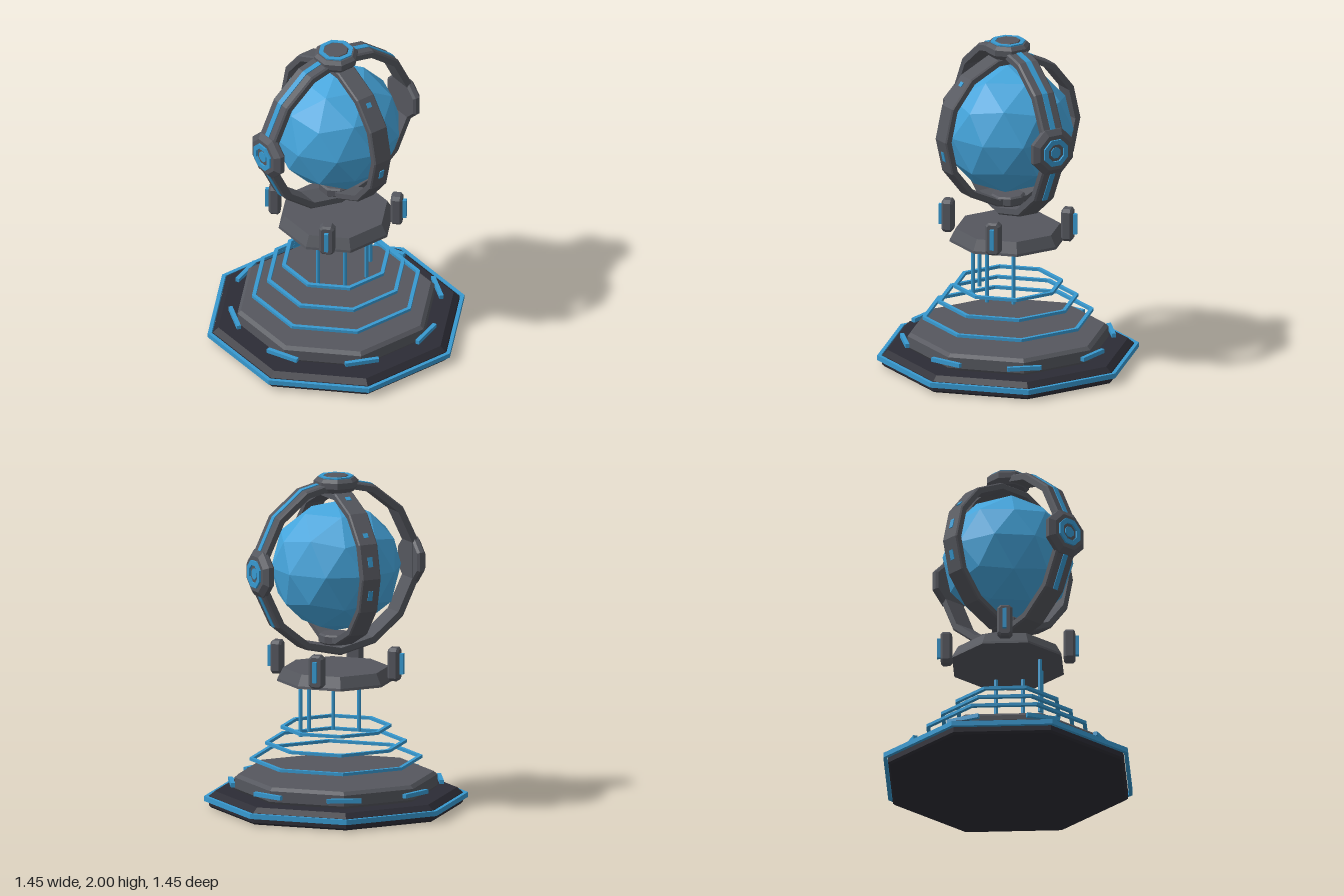
import * as THREE from 'three';

const mat = (name, color) => {
  const m = new THREE.MeshStandardMaterial({ color });
  m.name = name;
  return m;
};

// Faceted copy of a geometry
function flat(geo) {
  const g = geo.index ? geo.toNonIndexed() : geo;
  g.computeVertexNormals();
  return g;
}

// Profile given as [apothem, y] pairs, turned into a faceted prism
function turned(profile, sides = 8, apothem = true, start = Math.PI / sides) {
  const k = apothem ? 1 / Math.cos(Math.PI / sides) : 1;
  const pts = profile.map(([r, y]) => new THREE.Vector2(r * k, y));
  return flat(new THREE.LatheGeometry(pts, sides, start, Math.PI * 2));
}

// Closed rectangular octagon frame
const frame = (outer, inner, y0, y1) =>
  turned([[inner, y0], [outer, y0], [outer, y1], [inner, y1], [inner, y0]]);

// Chamfered closed section for the large hoops
function hoopProfile(R, r, w, c) {
  return [[r, -w], [R - c, -w], [R, -w + c], [R, w - c], [R - c, w], [r, w], [r, -w]];
}

export function createModel() {
  const root = new THREE.Group();
  root.name = 'globePedestal';
  const gray = mat('gunmetal', 0x55575e);
  const dark = mat('charcoal', 0x2c2c35);
  const glow = mat('globeBlue', 0x45a5dc);
  const trim = mat('trimBlue', 0x3799d0);

  const add = (name, geo, material, parent = root) => {
    const m = new THREE.Mesh(geo, material);
    m.name = name;
    parent.add(m);
    return m;
  };

  // Stepped base
  add('base', turned([[0, 0], [0.685, 0], [0.697, 0.012], [0.697, 0.07], [0.665, 0.1], [0, 0.1]]), dark);
  add('baseTrim', frame(0.725, 0.703, 0.04, 0.07), trim);
  add('baseStep', turned([[0, 0.1], [0.545, 0.1], [0.557, 0.115], [0.557, 0.18], [0.537, 0.2], [0, 0.2]]), gray);

  // Light bars across the corners of the step
  for (let i = 0; i < 8; i++) {
    const a = Math.PI / 8 + (i * Math.PI) / 4;
    const bar = add('cornerLight', new THREE.BoxGeometry(0.205, 0.025, 0.025), trim);
    bar.position.set(Math.sin(a) * 0.62, 0.153, Math.cos(a) * 0.62);
    bar.rotation.y = a;
  }

  // Floating frames, shrinking upward
  [[0.475, 0.29], [0.39, 0.385], [0.305, 0.48]].forEach(([r, y]) =>
    add('floatingFrame', frame(r, r - 0.022, y - 0.009, y + 0.009), trim));

  // Rods on the front half only
  for (const a of [-3, -1, 1, 3]) {
    const t = (a * Math.PI) / 8;
    const rod = add('rod', flat(new THREE.CylinderGeometry(0.012, 0.012, 0.35, 8)), trim);
    rod.position.set(Math.sin(t) * 0.21, 0.595, Math.cos(t) * 0.21);
  }

  // Upper platform
  add('platform', turned([[0, 0.76], [0.325, 0.76], [0.322, 0.775], [0.29, 0.84], [0, 0.84]]), gray);

  // Four diagonal brackets with light strips
  const s = new THREE.Shape();
  const w = 0.033, h = 0.088, c = 0.012;
  [[-w, -h + c], [-w + c, -h], [w - c, -h], [w, -h + c], [w, h - c], [w - c, h], [-w + c, h], [-w, h - c]]
    .forEach(([x, y], i) => (i ? s.lineTo(x, y) : s.moveTo(x, y)));
  const bracketGeo = flat(new THREE.ExtrudeGeometry(s, {
    depth: 0.043, bevelEnabled: true, bevelSegments: 1, bevelSize: 0.012, bevelThickness: 0.012,
  }).translate(0, 0, -0.0215));
  for (let i = 0; i < 4; i++) {
    const g = new THREE.Group();
    g.name = 'bracket';
    g.rotation.y = Math.PI / 4 + (i * Math.PI) / 2;
    add('bracketBody', bracketGeo, gray, g).position.set(0, 0.88, 0.365);
    add('bracketLight', new THREE.BoxGeometry(0.024, 0.125, 0.022), trim, g).position.set(0, 0.883, 0.411);
    root.add(g);
  }

  // Globe assembly
  const globe = new THREE.Group();
  globe.name = 'globeAssembly';
  globe.position.y = 1.45;
  root.add(globe);

  // Faceted globe with one corner straight up and one upper corner toward +x
  const ico = new THREE.IcosahedronGeometry(0.39, 1);
  const phi = (1 + Math.sqrt(5)) / 2;
  const up = new THREE.Vector3(0, 1, phi).normalize();
  const side = new THREE.Vector3(phi, 0, 1).normalize();
  side.addScaledVector(up, -side.dot(up)).normalize();
  const basis = new THREE.Matrix4().makeBasis(side, up, new THREE.Vector3().crossVectors(side, up));
  add('globe', flat(ico.applyMatrix4(basis.transpose())), glow, globe);

  // Wide hoop across x, and smaller hoop across z
  const hoopA = add('wideHoop', turned(hoopProfile(0.53, 0.485, 0.07, 0.01), 14, false, 0), gray, globe);
  hoopA.rotation.x = Math.PI / 2;
  const hoopB = add('innerHoop', turned(hoopProfile(0.47, 0.43, 0.062, 0.008), 14, false, 0), gray, globe);
  hoopB.rotation.z = Math.PI / 2;

  // Stripe over the wide hoop, leaving its lowest part bare
  const seg = (Math.PI * 2) / 14;
  const stripePts = [[0.525, -0.017], [0.535, -0.017], [0.535, 0.017], [0.525, 0.017]]
    .map(([r, y]) => new THREE.Vector2(r, y));
  add('hoopStripe', flat(new THREE.LatheGeometry(stripePts, 10, 2 * seg, 10 * seg)), trim, globe)
    .rotation.x = Math.PI / 2;

  // Small windows on the inner hoop: segment number, offset along it, length
  [[1, 0.055, 0.03], [-1, 0, 0.06], [9, -0.045, 0.03], [11, 0.045, 0.03], [13, 0, 0.06], [15, 0, 0.06]]
    .forEach(([n, off, len]) => {
      const odd = n === 1 ? 3 : n;
      const holder = new THREE.Group();
      holder.name = 'hoopWindow';
      holder.rotation.x = -odd * seg / 2;
      add('window', new THREE.BoxGeometry(0.03, len, 0.008), trim, holder).position.set(0, off, 0.459);
      globe.add(holder);
    });

  // Top hub
  add('topHub', turned([[0, 0.455], [0.1, 0.455], [0.123, 0.485], [0.123, 0.52], [0.105, 0.54], [0, 0.54]]), gray, globe);
  add('topHubRing', frame(0.097, 0.072, 0.538, 0.548), trim, globe);
  add('topHubCap', turned([[0.072, 0.538], [0.066, 0.55], [0, 0.55]]), gray, globe);

  // Bottom hub
  add('bottomHub', turned([[0, -0.465], [0.085, -0.465], [0.095, -0.455], [0.095, -0.415], [0.085, -0.405], [0, -0.405]]), gray, globe);

  // Side hubs
  for (const sx of [-1, 1]) {
    const hub = new THREE.Group();
    hub.name = sx > 0 ? 'leftHub' : 'rightHub';
    hub.rotation.z = -sx * Math.PI / 2;
    add('hubBody', turned([[0, 0.475], [0.125, 0.475], [0.138, 0.488], [0.138, 0.515], [0.105, 0.54], [0, 0.54]]), gray, hub);
    add('hubRing', frame(0.08, 0.052, 0.538, 0.552), trim, hub);
    add('hubDot', turned([[0.032, 0.538], [0.032, 0.546], [0, 0.546]]), trim, hub);
    globe.add(hub);
  }
  return root;
}
